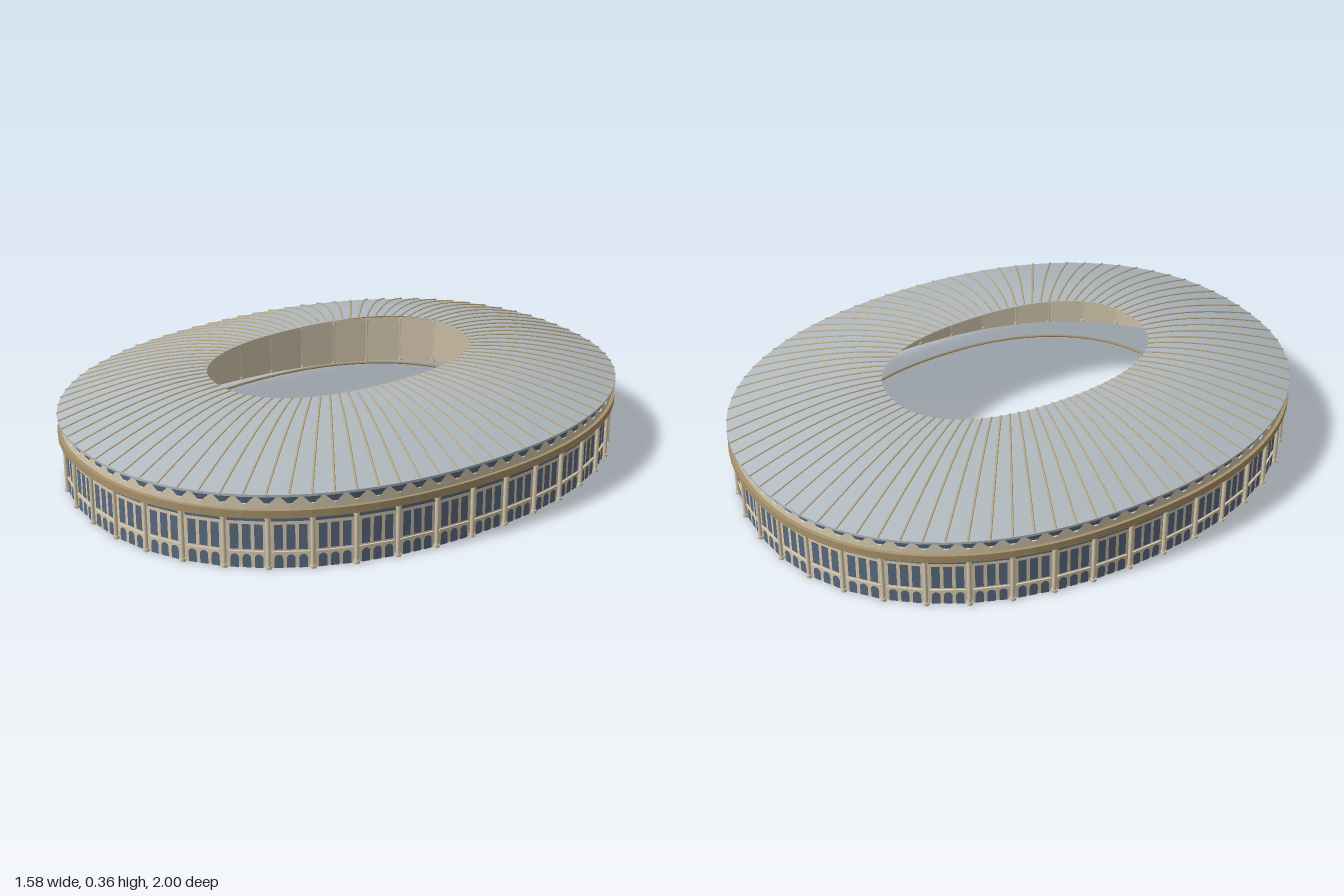
import * as THREE from 'three';
import { mergeGeometries } from 'three/addons/utils/BufferGeometryUtils.js';

const BAYS = 42, RIBS = 84;
const mat = (name, color) => {
  const m = new THREE.MeshStandardMaterial({ color, side: THREE.DoubleSide });
  m.name = name;
  return m;
};

// Evenly spaced points around a superelliptic oval, from +z towards +x
function oval(rx, rz, n, cz = 0, power = 2.2) {
  const pts = [], f = (v) => Math.sign(v) * Math.abs(v) ** (2 / power);
  for (let i = 0; i < 1440; i++) {
    const a = (i / 1440) * Math.PI * 2;
    pts.push(new THREE.Vector3(rx * f(Math.sin(a)), 0, cz + rz * f(Math.cos(a))));
  }
  pts.push(pts[0].clone());
  const len = [0];
  for (let i = 1; i < pts.length; i++) len.push(len[i - 1] + pts[i].distanceTo(pts[i - 1]));
  const out = [];
  for (let k = 0, i = 0; k < n; k++) {
    const d = (k / n) * len[len.length - 1];
    while (len[i + 1] < d) i++;
    out.push(pts[i].clone().lerp(pts[i + 1], (d - len[i]) / (len[i + 1] - len[i])));
  }
  return out;
}

// Surface through a list of equal closed loops
function loft(loops, flat = false) {
  const n = loops[0].length, pos = [], idx = [];
  loops.forEach((l) => l.forEach((p) => pos.push(p.x, p.y, p.z)));
  for (let j = 0; j < loops.length - 1; j++)
    for (let i = 0; i < n; i++) {
      const a = j * n + i, b = j * n + (i + 1) % n;
      idx.push(a, b, b + n, a, b + n, a + n);
    }
  let g = new THREE.BufferGeometry();
  g.setAttribute('position', new THREE.Float32BufferAttribute(pos, 3));
  g.setIndex(idx);
  if (flat) g = g.toNonIndexed();
  g.computeVertexNormals();
  return g;
}

// Band around the building from [scale, height] pairs
const band = (profile, n = RIBS) => {
  const base = oval(0.785, 0.995, n);
  return loft(profile.map(([s, y]) => base.map((p) => new THREE.Vector3(p.x * s, y, p.z * s))), true);
};

// Shift geometry to the middle of the edge p-q, facing outwards
function onEdge(geo, p, q) {
  const m = p.clone().lerp(q, 0.5), dx = q.x - p.x, dz = q.z - p.z;
  return geo.rotateY(Math.atan2(-dz, dx)).translate(m.x, 0, m.z);
}

function plate(points) {
  return new THREE.ShapeGeometry(new THREE.Shape(points.map(([x, y]) => new THREE.Vector2(x, y))));
}

function archPlate(x, w, h) {
  const s = new THREE.Shape();
  s.moveTo(x - w / 2, 0);
  s.lineTo(x + w / 2, 0);
  s.lineTo(x + w / 2, h - w / 2);
  s.absarc(x, h - w / 2, w / 2, 0, Math.PI, false);
  s.lineTo(x - w / 2, 0);
  return new THREE.ShapeGeometry(s, 5);
}

export function createModel() {
  const group = new THREE.Group();
  const stone = mat('pale stone', 0xd9ccb2);
  const trim = mat('tan trim', 0xa9946d);
  const ribMat = mat('rib beige', 0xc2b38f);
  const glass = mat('blue glass', 0x5a6b80);
  const roofMat = mat('roof grey', 0xb2bac0);
  const add = (name, geo, material) => {
    const m = new THREE.Mesh(geo, material);
    m.name = name;
    group.add(m);
  };

  // Outer wall, one flat panel per bay
  add('outerWall', band([[0.98, 0], [0.98, 0.18]], BAYS), stone);

  // Windows, arched doorways and columns
  const wall = oval(0.785 * 0.98, 0.995 * 0.98, BAYS);
  const windows = [], columns = [], sills = [];
  wall.forEach((p, i) => {
    const q = wall[(i + 1) % BAYS], w = p.distanceTo(q);
    const place = (g, z) => onEdge(g.translate(0, 0, z), p, q);
    for (const x of [-0.037, 0, 0.037]) {
      windows.push(place(plate([[x - 0.013, 0.062], [x + 0.013, 0.062], [x + 0.013, 0.145], [x - 0.013, 0.145]]), 0.003));
      windows.push(place(archPlate(x, 0.026, 0.045), 0.003));
    }
    const h = w / 2 - 0.008;
    windows.push(place(plate([[-h, 0.156], [h, 0.156], [h, 0.176], [-h, 0.176]]), 0.003));
    sills.push(place(new THREE.BoxGeometry(w - 0.02, 0.005, 0.006).translate(0, 0.053, 0), 0.003));
    // Column with base and capital at each corner
    const n = p.clone().setY(0).normalize().multiplyScalar(0.006);
    for (const [r, y0, y1] of [[0.007, 0, 0.176], [0.01, 0, 0.01], [0.01, 0.164, 0.176]])
      columns.push(new THREE.CylinderGeometry(r, r, y1 - y0, 8).translate(p.x + n.x, (y0 + y1) / 2, p.z + n.z));
  });
  add('windows', mergeGeometries(windows), glass);
  add('sills', mergeGeometries(sills), stone);
  add('columns', mergeGeometries(columns), stone);

  // Ledge, frieze and glazed band under the eaves
  add('ledge', band([[0.975, 0.175], [1.003, 0.175], [1.003, 0.2], [0.975, 0.2]]), trim);
  add('frieze', band([[0.99, 0.2], [0.99, 0.216], [0.975, 0.216]]), stone);
  add('eavesGlazing', band([[0.982, 0.21], [0.988, 0.251]]), glass);

  // Zigzag of triangular plates
  const eaves = oval(0.785 * 0.99, 0.995 * 0.99, RIBS);
  add('zigzag', mergeGeometries(eaves.map((p, i) => {
    const q = eaves[(i + 1) % RIBS], h = p.distanceTo(q) / 2;
    return onEdge(plate([[-h, 0.214], [h, 0.214], [0, 0.247]]).translate(0, 0, 0.003), p, q);
  })), stone);

  // Domed roof rising to the oval opening
  const outer = oval(0.787, 0.997, RIBS), inner = oval(0.305, 0.487, RIBS, 0.012, 2.3);
  const roofPoint = (i, t, lift = 0) => {
    const p = outer[i].clone().lerp(inner[i], t);
    p.y = 0.252 + 0.106 * Math.sin(t * Math.PI / 2) + lift;
    return p;
  };
  const steps = [...Array(9).keys()].map((j) => j / 8);
  add('roof', loft(steps.map((t) => outer.map((_, i) => roofPoint(i, t)))), roofMat);
  add('roofEdge', band([[1.002, 0.244], [1.002, 0.252]]), roofMat);

  // Roof ribs
  add('roofRibs', mergeGeometries(outer.map((_, i) => {
    const path = new THREE.CatmullRomCurve3(steps.map((t) => roofPoint(i, t, 0.001)));
    return new THREE.TubeGeometry(path, 10, 0.0035, 4);
  })), ribMat);

  // Thin ring inside the bowl
  const ring = oval(0.785 * 0.66, 0.995 * 0.66, 48);
  ring.forEach((p) => { p.y = 0.1; });
  add('innerRing', new THREE.TubeGeometry(new THREE.CatmullRomCurve3(ring, true), 96, 0.005, 6, true), trim);

  return group;
}
